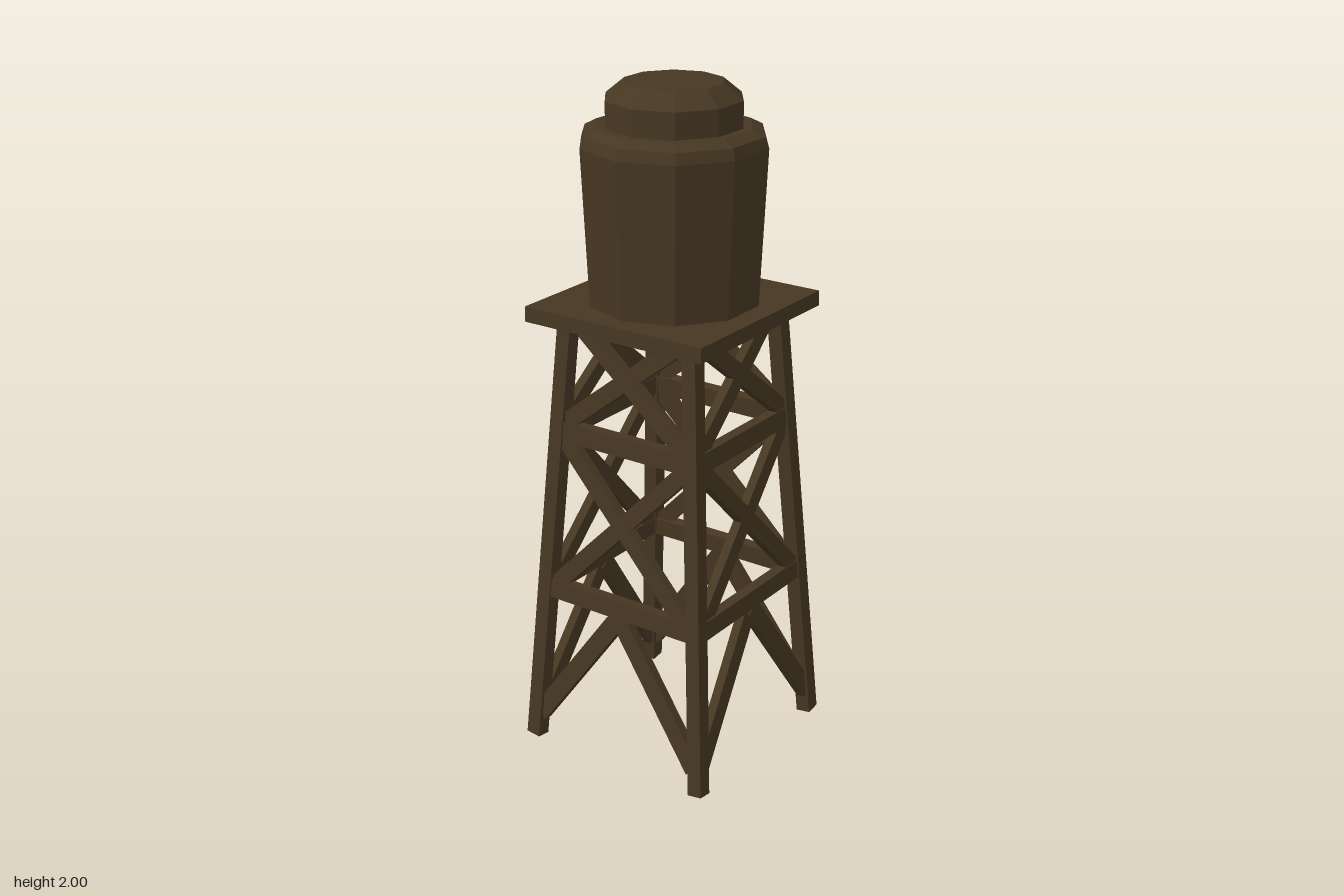
import * as THREE from 'three';

const wood = new THREE.MeshStandardMaterial({ color: 0x463722 });
wood.name = 'darkBrownWood';
// the low-poly look comes from split vertices with face normals
function faceted(geometry) {
  const g = geometry.index ? geometry.toNonIndexed() : geometry;
  g.computeVertexNormals();
  return g;
}

function part(name, geometry) {
  const mesh = new THREE.Mesh(faceted(geometry), wood);
  mesh.name = name;
  return mesh;
}

// distance of the leg centre line from the axis at height y
const legOffset = (y) => 0.2995 - 0.0652 * y;

// straight bar in the sloping front face, from (x0, y0) to (x1, y1)
function bar(name, x0, y0, x1, y1, width, depth, shift = 0) {
  const a = new THREE.Vector3(x0, y0, legOffset(y0) + shift);
  const b = new THREE.Vector3(x1, y1, legOffset(y1) + shift);
  const along = b.clone().sub(a);
  const length = along.length();
  along.normalize();
  const normal = new THREE.Vector3(0, 0.0652, 1).normalize();
  const side = new THREE.Vector3().crossVectors(normal, along).normalize();
  const mesh = part(name, new THREE.BoxGeometry(length, width, depth));
  mesh.quaternion.setFromRotationMatrix(new THREE.Matrix4().makeBasis(along, side, normal));
  mesh.position.copy(a).add(b).multiplyScalar(0.5);
  return mesh;
}

// leaning leg: a square post sheared towards the axis, foot cut slightly askew
function leg(sx, sz) {
  const height = 1.34;
  const geometry = new THREE.BoxGeometry(0.045, height, 0.045);
  const p = geometry.attributes.position;
  for (let i = 0; i < p.count; i++) {
    const y = p.getY(i) + height / 2;
    const tilt = y < 0.01 ? 0.006 + (p.getX(i) * sx + p.getZ(i) * sz) * 0.13 : 0;
    p.setXYZ(i, p.getX(i) + sx * legOffset(y), y + tilt, p.getZ(i) + sz * legOffset(y));
  }
  return part('leg', geometry);
}

// bracing of one side of the tower
function bracedSide() {
  const side = new THREE.Group();
  side.name = 'bracedSide';
  side.add(bar('lowerBeam', -0.262, 0.507, 0.262, 0.507, 0.056, 0.036));
  side.add(bar('upperBeam', -0.228, 1.005, 0.228, 1.005, 0.058, 0.036));
  for (const s of [-1, 1]) {
    const shift = s * 0.002;
    side.add(bar('footBrace', s * 0.285, 0.08, 0, 0.48, 0.055, 0.028, shift));
    side.add(bar('middleCrossBrace', s * 0.235, 0.52, -s * 0.207, 0.977, 0.05, 0.028, shift));
    side.add(bar('upperCrossBrace', s * 0.205, 1.036, -s * 0.175, 1.338, 0.05, 0.028, shift));
  }
  return side;
}

export function createModel() {
  const model = new THREE.Group();
  model.name = 'waterTower';

  // legs and bracing
  for (const sx of [-1, 1]) for (const sz of [-1, 1]) model.add(leg(sx, sz));
  for (let i = 0; i < 4; i++) {
    const side = bracedSide();
    side.rotation.y = (i * Math.PI) / 2;
    model.add(side);
  }

  // platform
  const platform = part('platform', new THREE.BoxGeometry(0.598, 0.045, 0.598));
  platform.position.y = 1.3575;
  model.add(platform);

  // ten-sided tank with chamfered shoulder, neck and cap
  const profile = [
    [0, 1.38], [0.248, 1.38], [0.27, 1.83], [0.26, 1.862], [0.225, 1.88],
    [0.197, 1.88], [0.197, 1.955], [0.142, 2], [0, 2],
  ].map(([r, y]) => new THREE.Vector2(r, y));
  const tank = part('tank', new THREE.LatheGeometry(profile, 10));
  tank.position.set(-0.003, 0, -0.005);
  model.add(tank);

  return model;
}
